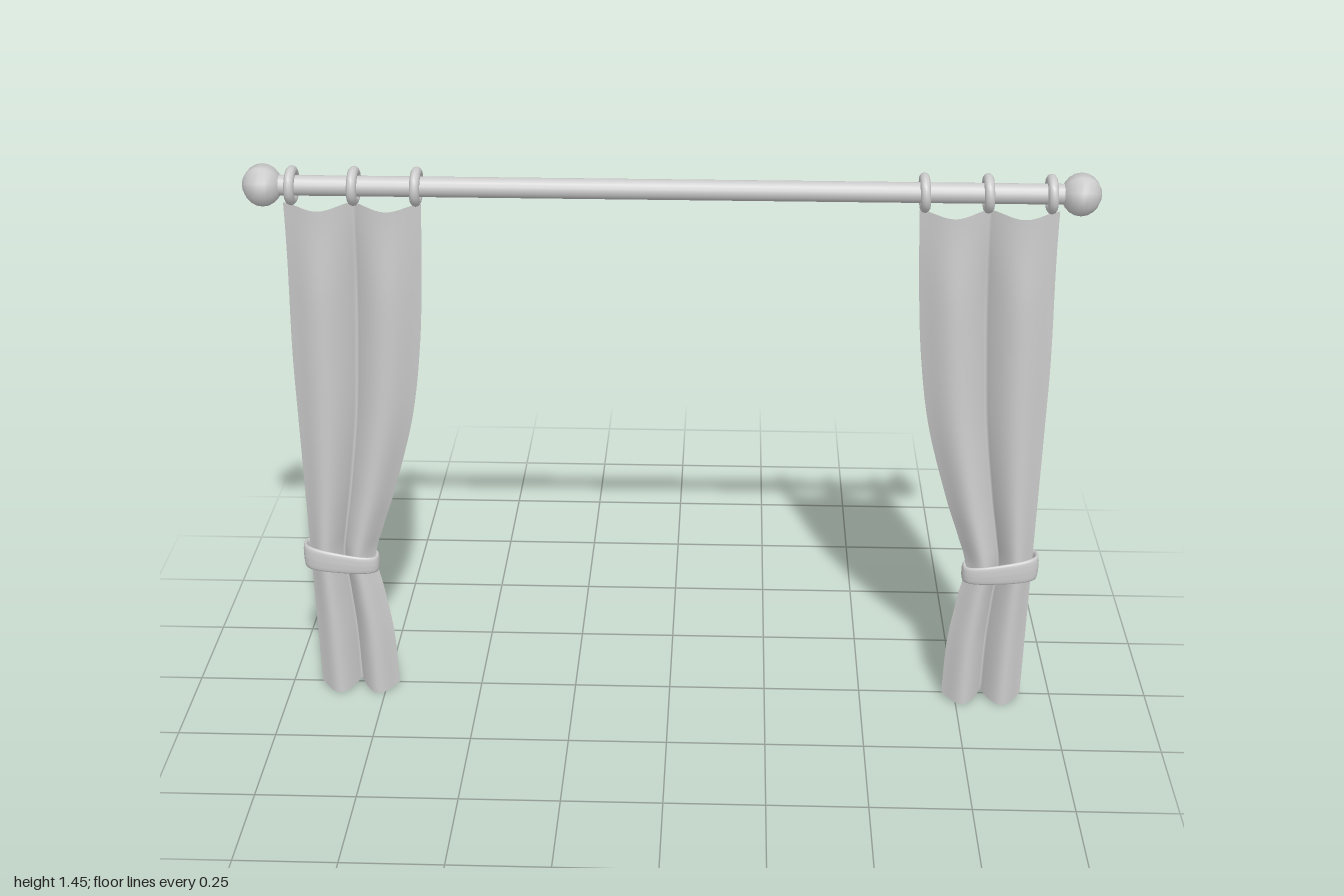
import * as THREE from 'three';

const material = new THREE.MeshStandardMaterial({ color: 0xcccccc });
const clothMaterial = new THREE.MeshStandardMaterial({ color: 0xcccccc, side: THREE.DoubleSide });
const ROD_Y = 1.4, ROD_Z = 0.016;

function add(parent, name, geometry, x = 0, y = 0, z = 0, mat = material) {
  const mesh = new THREE.Mesh(geometry, mat);
  mesh.name = name;
  mesh.position.set(x, y, z);
  parent.add(mesh);
  return mesh;
}

// Reshape a flat grid: point(u, v) with u, v from 0 to 1
function sheet(nu, nv, point) {
  const geometry = new THREE.PlaneGeometry(1, 1, nu, nv);
  const pos = geometry.attributes.position;
  for (let i = 0; i < pos.count; i++) {
    pos.setXYZ(i, ...point(pos.getX(i) + 0.5, pos.getY(i) + 0.5));
  }
  geometry.computeVertexNormals();
  return geometry;
}

// Inner and outer edges of a curtain as x over height
const edgeCurve = (pts) => new THREE.SplineCurve(pts.map(([x, y]) => new THREE.Vector2(x, y)));
const innerEdge = edgeCurve([[0.715, 0], [0.72, 0.17], [0.737, 0.3], [0.752, 0.4], [0.727, 0.49],
  [0.69, 0.6], [0.635, 0.8], [0.605, 1.0], [0.59, 1.2], [0.582, 1.36]]);

function curtainGeometry(s) {
  return sheet(48, 54, (u, v) => {
    const inner = innerEdge.getPoint(v);
    const y0 = inner.y;
    const outer = 0.92 - 0.013 * THREE.MathUtils.smoothstep(y0, 0.9, 1.36);
    // two rounded folds with a pinched valley between them
    const fold = Math.pow(Math.abs(Math.sin(u * Math.PI * 2)), 0.9);
    const edge = 0.018 * Math.pow(Math.abs(2 * u - 1), 4);
    const full = edge + (0.055 - edge) * fold;
    const top = THREE.MathUtils.smoothstep(y0, 1.1, 1.36);
    const z = THREE.MathUtils.lerp(full, 0.012 + 0.6 * full, top);
    // scalloped hem, and a top edge that sags between the rings
    const hem = 0.013 * (1 - fold) * Math.max(0, 1 - y0 / 0.2);
    const sag = 0.014 * Math.sin(u * Math.PI * 2) ** 2 * top;
    const x = THREE.MathUtils.lerp(inner.x, outer, u);
    return [s * x, y0 + hem - sag, z];
  });
}

// Flattened loop of rounded band, higher and wider at its outer end
function tiebackGeometry(s) {
  const power = (c) => Math.sign(c) * Math.pow(Math.abs(c), 0.72);
  return sheet(48, 16, (u, v) => {
    const a = u * Math.PI * 2, b = v * Math.PI * 2;
    const cx = power(Math.cos(a)), cz = power(Math.sin(a));
    const out = 0.006 * power(Math.cos(b));
    const half = 0.028 + 0.006 * cx;
    return [
      s * (0.839 + (0.09 + out) * cx),
      0.398 + 0.012 * cx + half * power(Math.sin(b)),
      0.025 + (0.034 + out) * cz,
    ];
  });
}

export function createModel() {
  const model = new THREE.Group();
  model.name = 'curtainsOnRod';

  // Rod
  const rod = new THREE.CylinderGeometry(0.024, 0.024, 1.9, 16).rotateZ(Math.PI / 2);
  add(model, 'rod', rod, 0, ROD_Y, ROD_Z);

  // Eight-sided ball with its poles along the rod
  const ball = new THREE.SphereGeometry(0.0505, 8, 10)
    .rotateY(Math.PI / 8).rotateZ(Math.PI / 2).scale(0.93, 1, 1);
  const peg = new THREE.CylinderGeometry(0.015, 0.015, 0.07, 12).rotateX(Math.PI / 2);
  const pegCap = new THREE.CylinderGeometry(0.018, 0.018, 0.008, 12).rotateX(Math.PI / 2);
  const ring = new THREE.TorusGeometry(0.035, 0.012, 10, 20).rotateY(Math.PI / 2);

  for (const s of [-1, 1]) {
    const side = new THREE.Group();
    side.name = s > 0 ? 'leftSide' : 'rightSide';
    model.add(side);

    add(side, 'finial', ball, s * 0.953, ROD_Y, ROD_Z);
    add(side, 'wallPeg', peg, s * 0.953, ROD_Y, -0.025);
    add(side, 'wallPegCap', pegCap, s * 0.953, ROD_Y, -0.059);
    for (const x of [0.592, 0.739, 0.885]) {
      add(side, 'curtainRing', ring, s * x, ROD_Y, ROD_Z).rotation.z = s * 0.05;
    }
    add(side, 'curtain', curtainGeometry(s), 0, 0, 0, clothMaterial);
    add(side, 'tieback', tiebackGeometry(s), 0, 0, 0, clothMaterial);
  }
  return model;
}
